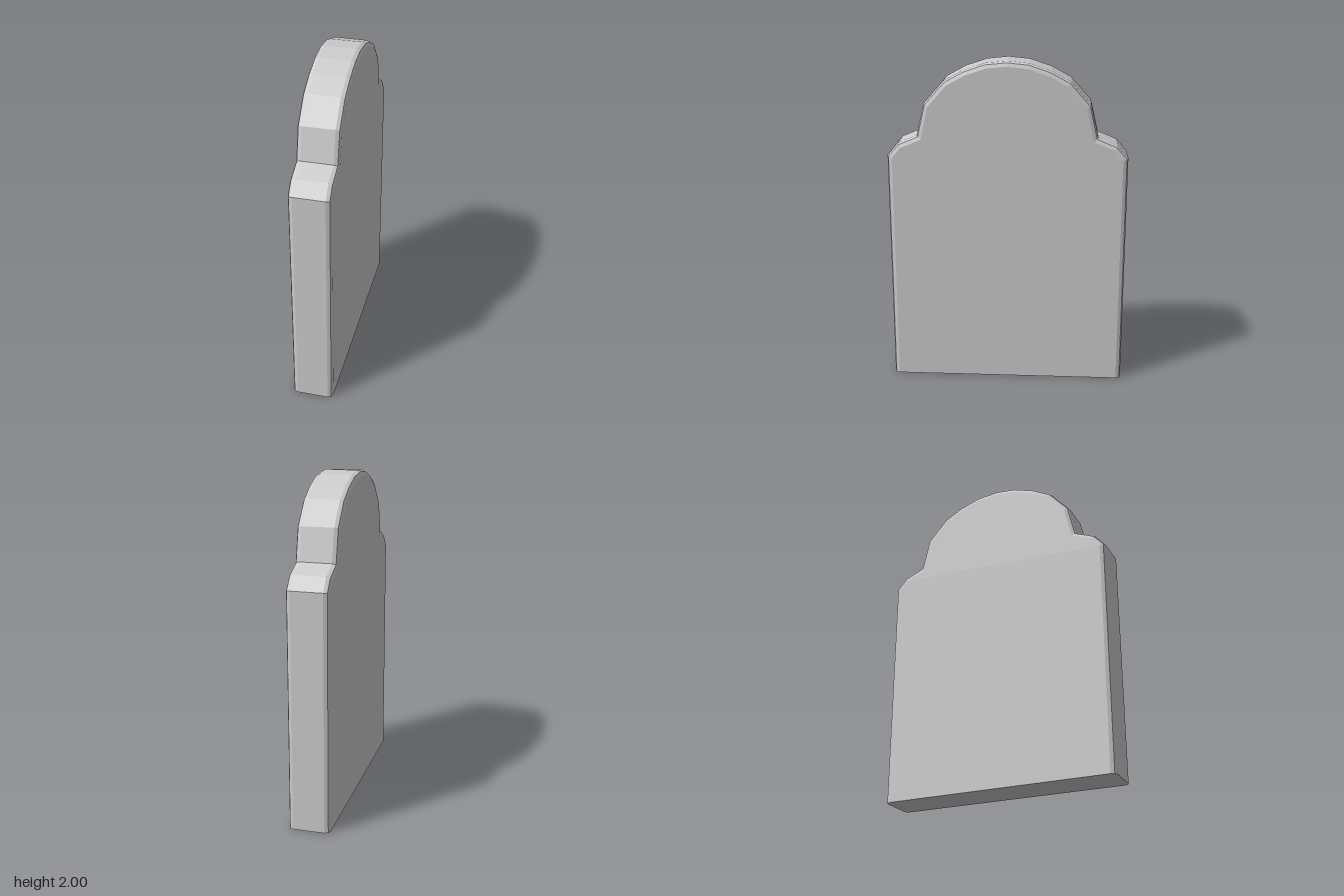
import * as THREE from 'three';

const HALF_THICKNESS = 0.124;
const BEVEL = 0.03;

// Half outline as [distance from centre, height], from the foot up to the crown
const HALF_OUTLINE = [
  [0.72, 0], [0.72, 1.43], [0.655, 1.505], [0.54, 1.553], // side and shoulder
  [0.495, 1.745], [0.375, 1.88], [0.26, 1.943], [0.13, 1.987], // arch
];

export function createModel() {
  const group = new THREE.Group();
  group.name = 'gravestone';

  // Mirror the half outline around the crown point
  const right = HALF_OUTLINE.map(([d, h]) => new THREE.Vector2(d, h));
  const left = HALF_OUTLINE.map(([d, h]) => new THREE.Vector2(-d, h)).reverse();
  const shape = new THREE.Shape([...right, new THREE.Vector2(0, 2), ...left]);

  // Slab with rounded edges, kept inside the outline
  const depth = 2 * (HALF_THICKNESS - BEVEL);
  const geometry = new THREE.ExtrudeGeometry(shape, {
    depth,
    bevelEnabled: true,
    bevelThickness: BEVEL,
    bevelSize: BEVEL,
    bevelOffset: -BEVEL,
    bevelSegments: 2,
  });
  geometry.translate(0, 0, -depth / 2);

  // Press the lower bevel flat so the foot is a sharp-edged, level base
  const position = geometry.attributes.position;
  for (let i = 0; i < position.count; i++) {
    if (position.getY(i) < 0.1) position.setY(i, 0);
  }
  geometry.rotateY(Math.PI / 2); // broad faces look along x
  geometry.computeVertexNormals();

  const slab = new THREE.Mesh(
    geometry,
    new THREE.MeshStandardMaterial({ color: 0xcccccc, flatShading: true }),
  );
  slab.name = 'slab';
  group.add(slab);
  return group;
}
